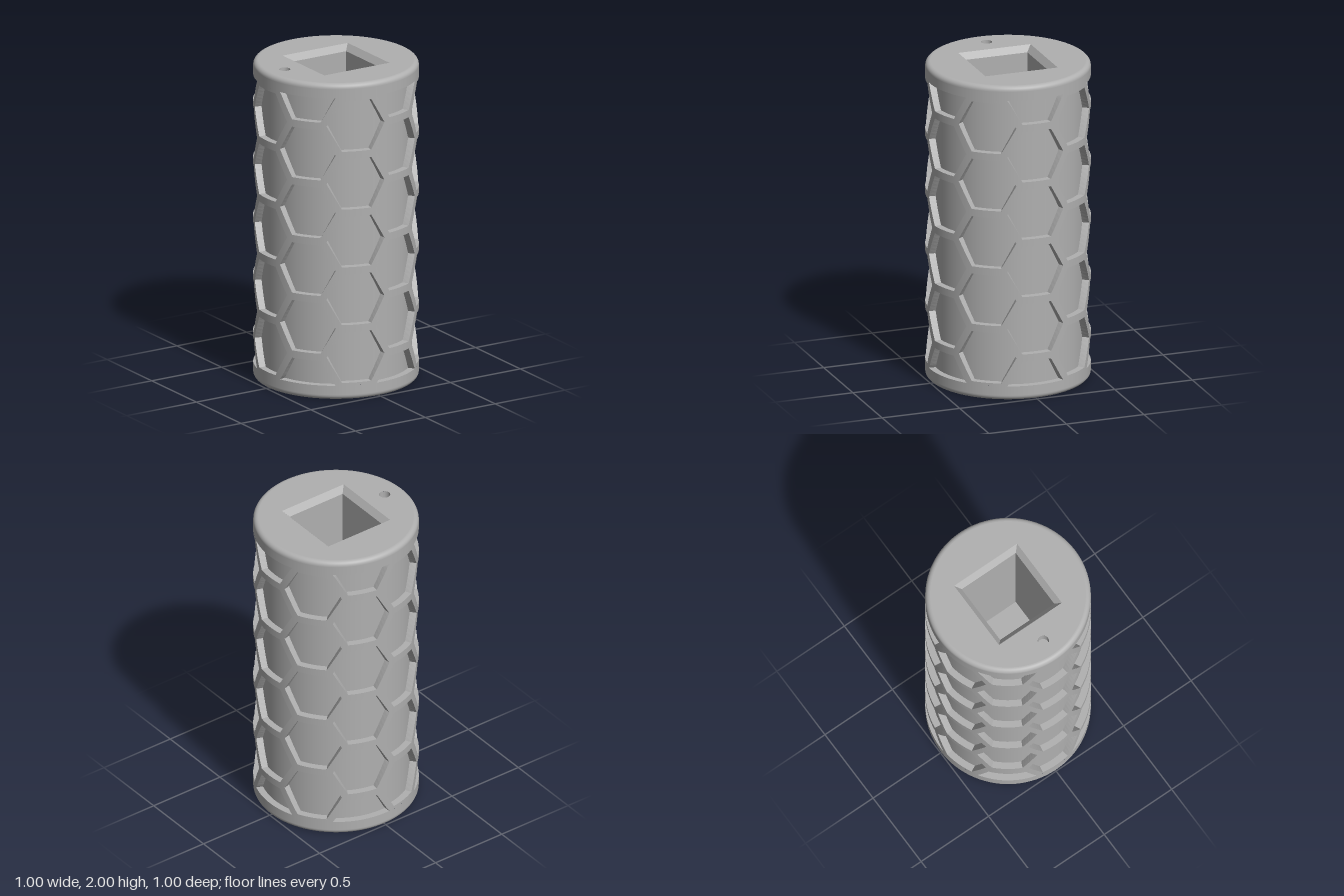
import * as THREE from 'three';

const R = 0.5;            // outer radius
const FLOOR = 0.458;      // radius at the bottom of the recessed cells
const BAND = 0.09;        // height of the plain bands at both ends
const FILLET = 0.03;
const PERIOD = 0.366;     // vertical pitch of the cells
const CELL = 0.32;        // height of one recessed cell
const COLUMNS = 10;
const EDGE_STEPS = 6;

const grey = new THREE.MeshStandardMaterial({ color: 0xb0b0b0 });
grey.name = 'grey';

function add(parent, name, geometry) {
  const mesh = new THREE.Mesh(geometry, grey);
  mesh.name = name;
  parent.add(mesh);
  return mesh;
}

// Flat-topped hexagon as a counterclockwise loop of [arc, y], kept between the bands
function hexLoop(arc, y, height) {
  const r = height / Math.sqrt(3), pts = [];
  for (let s = 0; s < 6; s++) {
    const a = s * Math.PI / 3, b = (s + 1) * Math.PI / 3;
    for (let k = 0; k < EDGE_STEPS; k++) {
      const t = k / EDGE_STEPS;
      const px = r * THREE.MathUtils.lerp(Math.cos(a), Math.cos(b), t);
      const py = r * THREE.MathUtils.lerp(Math.sin(a), Math.sin(b), t);
      pts.push([arc + px, THREE.MathUtils.clamp(y + py, BAND, 2 - BAND)]);
    }
  }
  return pts;
}

const wrap = ([arc, y], r) => [r * Math.sin(arc / R), y, r * Math.cos(arc / R)];

function quad(out, a, b, c, d) {
  out.push(...a, ...b, ...c, ...a, ...c, ...d);
}

function fromTriangles(positions) {
  const g = new THREE.BufferGeometry();
  g.setAttribute('position', new THREE.Float32BufferAttribute(positions, 3));
  g.computeVertexNormals();
  return g;
}

// Raised honeycomb: each cell has a hexagonal rim on the outside and walls down to the floor
function honeycomb(group) {
  const rim = [], wall = [];
  const pitch = 2 * Math.PI * R / COLUMNS;
  for (let c = 0; c < COLUMNS; c++) {
    const arc = (c + 0.5) * pitch;
    const half = c % 2 === 0;       // every other column is shifted by half a cell
    const rows = half ? [-2.5, -1.5, -0.5, 0.5, 1.5, 2.5] : [-2, -1, 0, 1, 2];
    for (const row of rows) {
      const y = 1 + row * PERIOD;
      const inner = hexLoop(arc, y, CELL);
      // the outer hexagon spans exactly one column pitch
      const outer = hexLoop(0, y, PERIOD).map(([a, h]) =>
        [arc + a * pitch * 2 / (PERIOD * Math.sqrt(3)), h]);
      inner.forEach((p, i) => {
        const n = (i + 1) % inner.length;
        quad(rim, wrap(p, R), wrap(outer[i], R), wrap(outer[n], R), wrap(inner[n], R));
        quad(wall, wrap(p, R), wrap(inner[n], R), wrap(inner[n], FLOOR - 0.003), wrap(p, FLOOR - 0.003));
      });
    }
  }
  const rimGeo = fromTriangles(rim);
  const pos = rimGeo.attributes.position, nor = rimGeo.attributes.normal;
  for (let i = 0; i < pos.count; i++) nor.setXYZ(i, pos.getX(i) / R, 0, pos.getZ(i) / R);
  add(group, 'honeycombRims', rimGeo);
  add(group, 'honeycombWalls', fromTriangles(wall));
}

// Open tube whose faces look inward
function inwardTube(rTop, rBottom, height, sides, topY) {
  const g = new THREE.CylinderGeometry(rTop, rBottom, height, sides, 1, true).toNonIndexed();
  if (sides === 4) g.rotateY(Math.PI / 4);
  g.translate(0, topY - height / 2, 0);
  g.scale(-1, 1, 1);
  const p = g.attributes.position;
  // swap two corners of each triangle to match the mirrored winding
  const flipped = [];
  for (let i = 0; i < p.count; i += 3) {
    for (const k of [0, 1, 2]) flipped.push(p.getX(i + k), p.getY(i + k), p.getZ(i + k));
  }
  return fromTriangles(flipped);
}

// One end, centred on the middle of the body and facing up
function buildEnd(name, withMarker) {
  const end = new THREE.Group();
  end.name = name;

  const profile = [new THREE.Vector2(R, 1 - BAND), new THREE.Vector2(R, 1 - FILLET - 0.002)];
  for (let i = 0; i <= 8; i++) {
    const a = i / 8 * Math.PI / 2;
    profile.push(new THREE.Vector2(R - FILLET + FILLET * Math.cos(a), 1 - FILLET + FILLET * Math.sin(a)));
  }
  add(end, 'endBand', new THREE.LatheGeometry(profile, 96));

  // End face with the square opening
  const top = 0.233, inside = 0.2, chamfer = 0.038, depth = 0.9;
  const face = new THREE.Shape().absarc(0, 0, R - FILLET, 0, Math.PI * 2);
  face.holes.push(new THREE.Path([[-1, -1], [-1, 1], [1, 1], [1, -1]]
    .map(([x, y]) => new THREE.Vector2(x * top, y * top))));
  if (withMarker) face.holes.push(new THREE.Path().absarc(-0.367, 0, 0.034, 0, Math.PI * 2, true));
  add(end, 'endFace', new THREE.ShapeGeometry(face, 48).rotateX(-Math.PI / 2).translate(0, 1, 0));

  // Square socket
  const d = Math.SQRT2;
  add(end, 'socketChamfer', inwardTube(top * d, inside * d, chamfer, 4, 1));
  add(end, 'socketWalls', inwardTube(inside * d, inside * d, depth - chamfer, 4, 1 - chamfer));
  add(end, 'socketFloor', new THREE.PlaneGeometry(2 * inside, 2 * inside)
    .rotateX(-Math.PI / 2).translate(0, 1 - depth, 0));

  // Small round marker hole
  if (withMarker) {
    add(end, 'markerWall', inwardTube(0.034, 0.034, 0.06, 32, 1)).position.x = -0.367;
    add(end, 'markerFloor', new THREE.CircleGeometry(0.034, 32)
      .rotateX(-Math.PI / 2).translate(-0.367, 0.94, 0));
  }
  end.position.y = 1;
  return end;
}

export function createModel() {
  const model = new THREE.Group();
  model.name = 'honeycombGrip';

  add(model, 'core', new THREE.CylinderGeometry(FLOOR, FLOOR, 2 - 2 * BAND, 120, 1, true)).position.y = 1;
  honeycomb(model);

  model.add(buildEnd('topEnd', true));
  const bottom = buildEnd('bottomEnd', false);
  bottom.rotation.x = Math.PI;
  model.add(bottom);
  return model;
}
